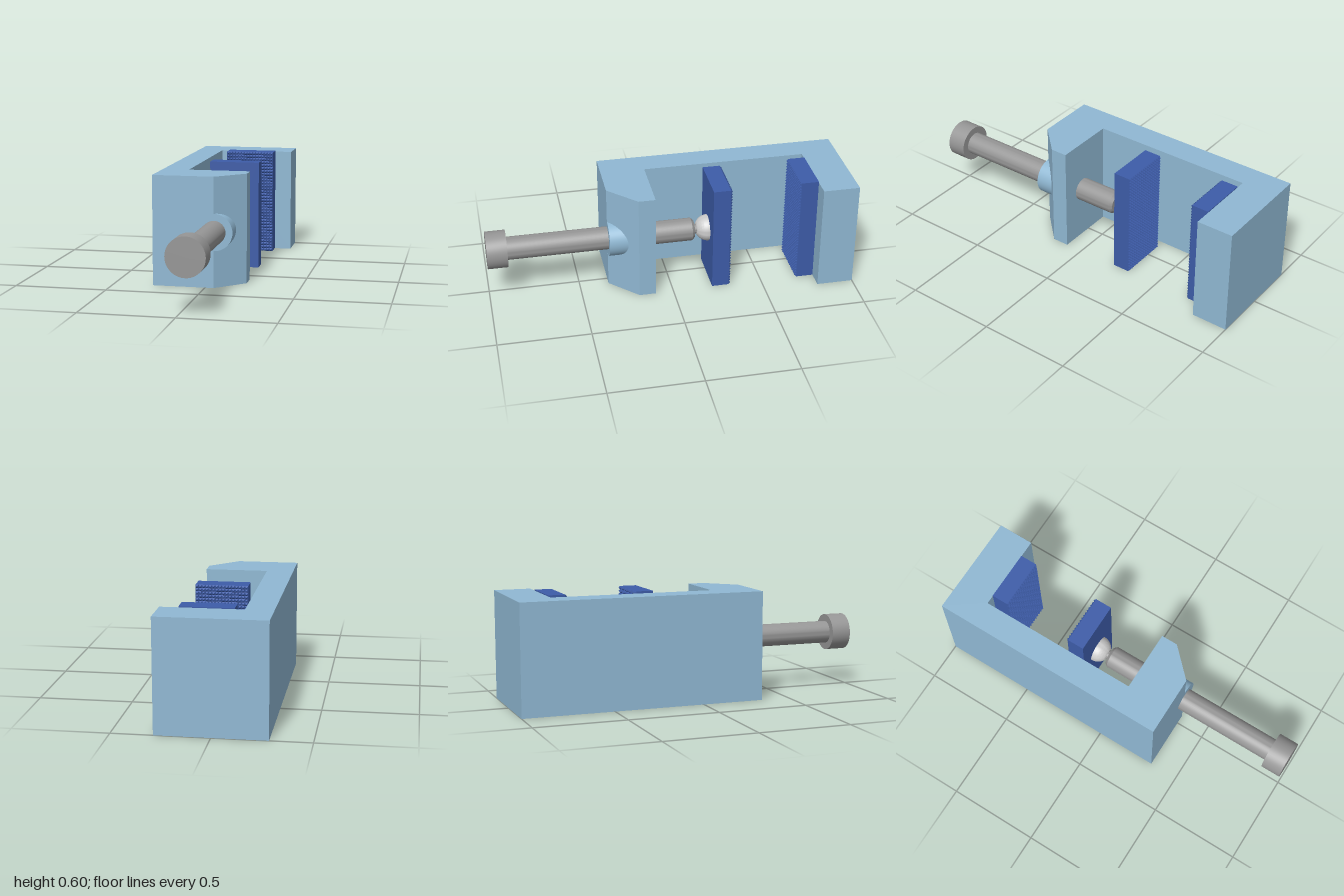
import * as THREE from 'three';
import { mergeGeometries, toCreasedNormals } from 'three/addons/utils/BufferGeometryUtils.js';

const AXIS_X = 0.049, AXIS_Y = 0.3;
const FRAME_H = 0.597;
const JAW_W = 0.28, JAW_H = 0.602, JAW_D = 0.094, TOOTH_D = 0.012;

const mat = (color, flatShading = false) => {
  const m = new THREE.MeshStandardMaterial({ color });
  m.flatShading = flatShading;
  return m;
};

function add(parent, name, geometry, material) {
  const mesh = new THREE.Mesh(geometry, material);
  mesh.name = name;
  parent.add(mesh);
  return mesh;
}

// Solid of revolution along the screw axis; profile is [radius, z] with z rising
function turned(profile) {
  const points = profile.map(([r, z]) => new THREE.Vector2(r, z));
  const g = new THREE.LatheGeometry(points, 48).rotateX(Math.PI / 2);
  return toCreasedNormals(g, 0.5).translate(AXIS_X, AXIS_Y, 0);
}

// Jaw pad with its back at z = 0 and a grid of pyramid teeth facing +z
function createJaw(name, material) {
  const jaw = new THREE.Group();
  jaw.name = name;
  const plate = new THREE.BoxGeometry(JAW_W, JAW_H, JAW_D).translate(0, JAW_H / 2, JAW_D / 2);
  add(jaw, 'jawPlate', plate, material);

  const cols = 16, rows = 34;
  const pw = JAW_W / cols, ph = JAW_H / rows;
  const tooth = new THREE.ConeGeometry(Math.SQRT1_2, 1, 4, 1, true)
    .rotateY(Math.PI / 4).rotateX(Math.PI / 2).scale(pw, ph, TOOTH_D);
  const teeth = [];
  for (let i = 0; i < cols; i++) {
    for (let j = 0; j < rows; j++) {
      teeth.push(tooth.clone().translate(
        (i + 0.5) * pw - JAW_W / 2, (j + 0.5) * ph, JAW_D + TOOTH_D / 2));
    }
  }
  add(jaw, 'jawTeeth', mergeGeometries(teeth), material);
  return jaw;
}

export function createModel() {
  const model = new THREE.Group();
  model.name = 'clamp';
  const frameMat = mat(0x90b8d3);
  const jawMat = mat(0x3d5ca8, true);
  const steelMat = mat(0x969696);

  // C-shaped frame with a chamfered front arm, outlined in plan (x, z)
  const outline = [
    [-0.285, -1], [0.285, -1], [0.285, -0.8], [-0.14, -0.8], [-0.14, 0.098],
    [0.198, 0.098], [0.198, 0.19], [0.048, 0.34], [-0.285, 0.34],
  ].map(([x, z]) => new THREE.Vector2(x, z));
  const frame = new THREE.ExtrudeGeometry(new THREE.Shape(outline), { depth: FRAME_H, bevelEnabled: false })
    .rotateX(Math.PI / 2).translate(0, FRAME_H, 0);
  add(model, 'frame', frame, frameMat);

  // Boss around the screw, emerging from the chamfer
  add(model, 'screwBoss', turned([[0, 0.15], [0.1, 0.15], [0.1, 0.34], [0, 0.34]]), frameMat);

  // Screw: neck, chamfered tip, shaft and head
  add(model, 'screw', turned([
    [0, -0.2], [0.027, -0.2], [0.027, -0.14], [0.05, -0.14], [0.063, -0.125],
    [0.063, 0.89], [0.102, 0.89], [0.102, 1], [0, 1],
  ]), steelMat);

  // Half-ball swivel on the back of the moving jaw, trimmed flat at the neck
  const ball = [[0, -0.22]];
  for (let i = 0; i <= 12; i++) {
    const a = (i / 12) * 1.13;
    ball.push([0.073 * Math.cos(a), -0.22 + 0.073 * Math.sin(a)]);
  }
  ball.push([0, ball[ball.length - 1][1]]);
  add(model, 'swivelBall', turned(ball), mat(0xcccccc));

  // Jaws: one fixed to the frame, one moved by the screw
  const fixedJaw = createJaw('fixedJaw', jawMat);
  fixedJaw.position.set(AXIS_X, 0, -0.8);
  const movingJaw = createJaw('movingJaw', jawMat);
  movingJaw.position.set(AXIS_X, 0, -0.22);
  movingJaw.rotation.y = Math.PI;
  model.add(fixedJaw, movingJaw);

  return model;
}
